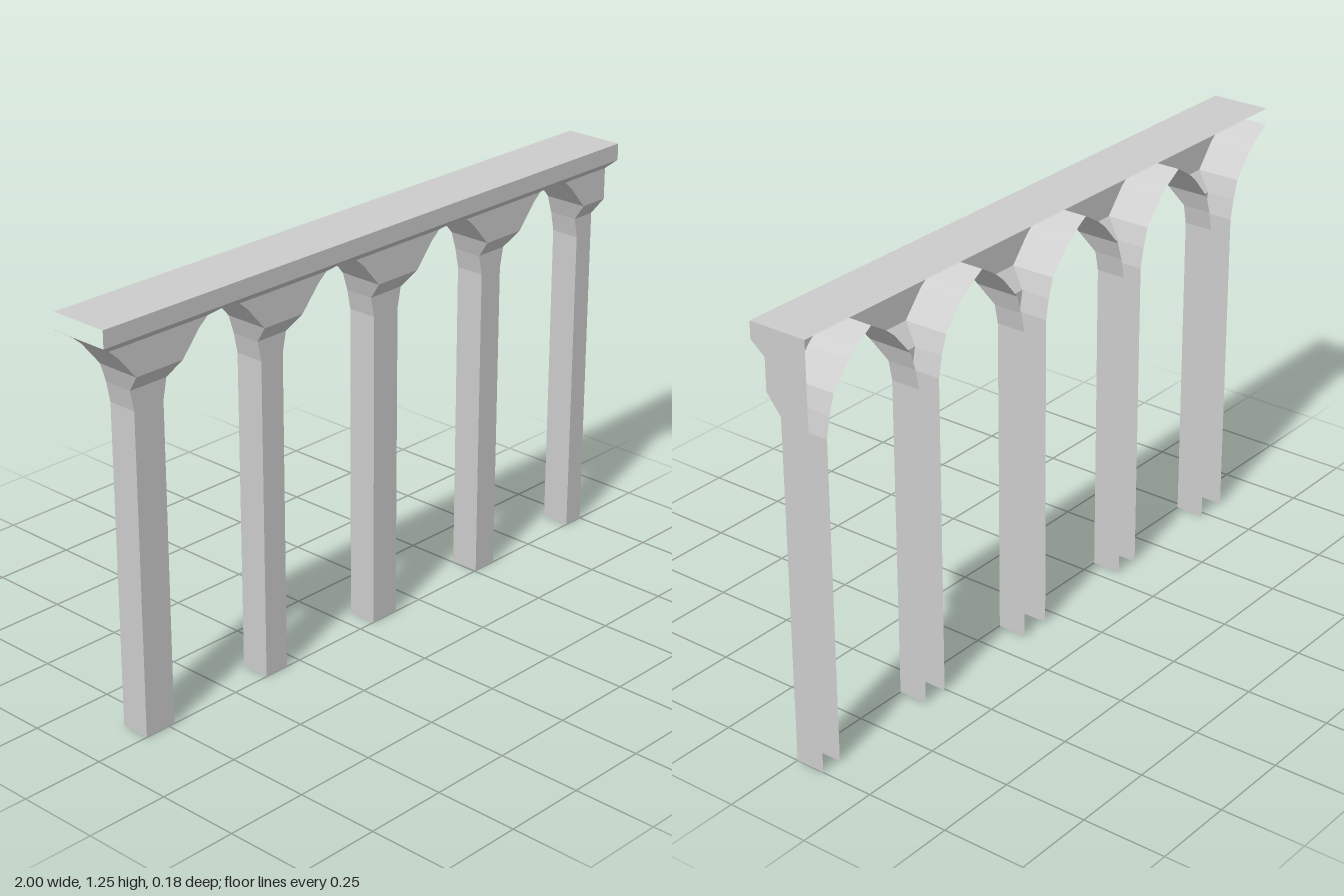
import * as THREE from 'three';

const BACK = -0.09, FRONT = 0.09, TOP = 1.245, SPRING = 1.195;

// Height, front depth and outward flare (0 = shaft edge, 1 = arch apex)
const levels = [
  [0, 0, 0], [0.95, 0, 0], [1.01, 0, 0.07], [1.065, 0.045, 0.17],
  [1.135, 0.045, 0.51], [1.16, 0.045, 0.68], [SPRING, FRONT, 1],
];

// Left apex, shaft left edge, shaft right edge, right apex
const columns = [
  [-1, -0.83, -0.73, -0.555],
  [-0.555, -0.38, -0.3, -0.12],
  [-0.12, 0.055, 0.15, 0.325],
  [0.325, 0.505, 0.585, 0.76],
  [0.76, 0.935, 1, 1],
];

// Flat shaded mesh from quads, corners counter-clockwise from outside
function quadMesh(name, quads, material) {
  const pos = quads.flatMap(([a, b, c, d]) => [a, b, c, a, c, d].flat());
  const geometry = new THREE.BufferGeometry();
  geometry.setAttribute('position', new THREE.Float32BufferAttribute(pos, 3));
  geometry.computeVertexNormals();
  const mesh = new THREE.Mesh(geometry, material);
  mesh.name = name;
  return mesh;
}

export function createModel() {
  const stone = new THREE.MeshStandardMaterial({ color: 0xcccccc, side: THREE.DoubleSide });
  stone.name = 'pale grey stone';
  const group = new THREE.Group();
  group.name = 'arcade';

  // Columns: hollow channels open at the back, flaring into half arches
  columns.forEach(([apexL, left, right, apexR], n) => {
    const rows = levels.map(([y, z, f]) => ({
      y, z,
      l: THREE.MathUtils.lerp(left, apexL, f),
      r: THREE.MathUtils.lerp(right, apexR, f),
    }));
    const face = [], sides = [];
    for (let i = 0; i < rows.length - 1; i++) {
      const a = rows[i], b = rows[i + 1];
      face.push([[a.l, a.y, a.z], [a.r, a.y, a.z], [b.r, b.y, b.z], [b.l, b.y, b.z]]);
      sides.push(
        [[a.r, a.y, a.z], [a.r, a.y, BACK], [b.r, b.y, BACK], [b.r, b.y, b.z]],
        [[a.l, a.y, BACK], [a.l, a.y, a.z], [b.l, b.y, b.z], [b.l, b.y, BACK]],
      );
    }
    const column = new THREE.Group();
    column.name = `column${n + 1}`;
    column.add(quadMesh('columnFace', face, stone), quadMesh('archSoffits', sides, stone));
    group.add(column);
  });

  // Beam: front band, top and one closed end; the back and other end are open
  group.add(
    quadMesh('beamBand', [[[-1, SPRING, FRONT], [1, SPRING, FRONT], [1, TOP, FRONT], [-1, TOP, FRONT]]], stone),
    quadMesh('beamTop', [[[-1, TOP, FRONT], [1, TOP, FRONT], [1, TOP, BACK], [-1, TOP, BACK]]], stone),
    quadMesh('beamEnd', [[[1, SPRING, FRONT], [1, SPRING, BACK], [1, TOP, BACK], [1, TOP, FRONT]]], stone),
  );
  return group;
}
